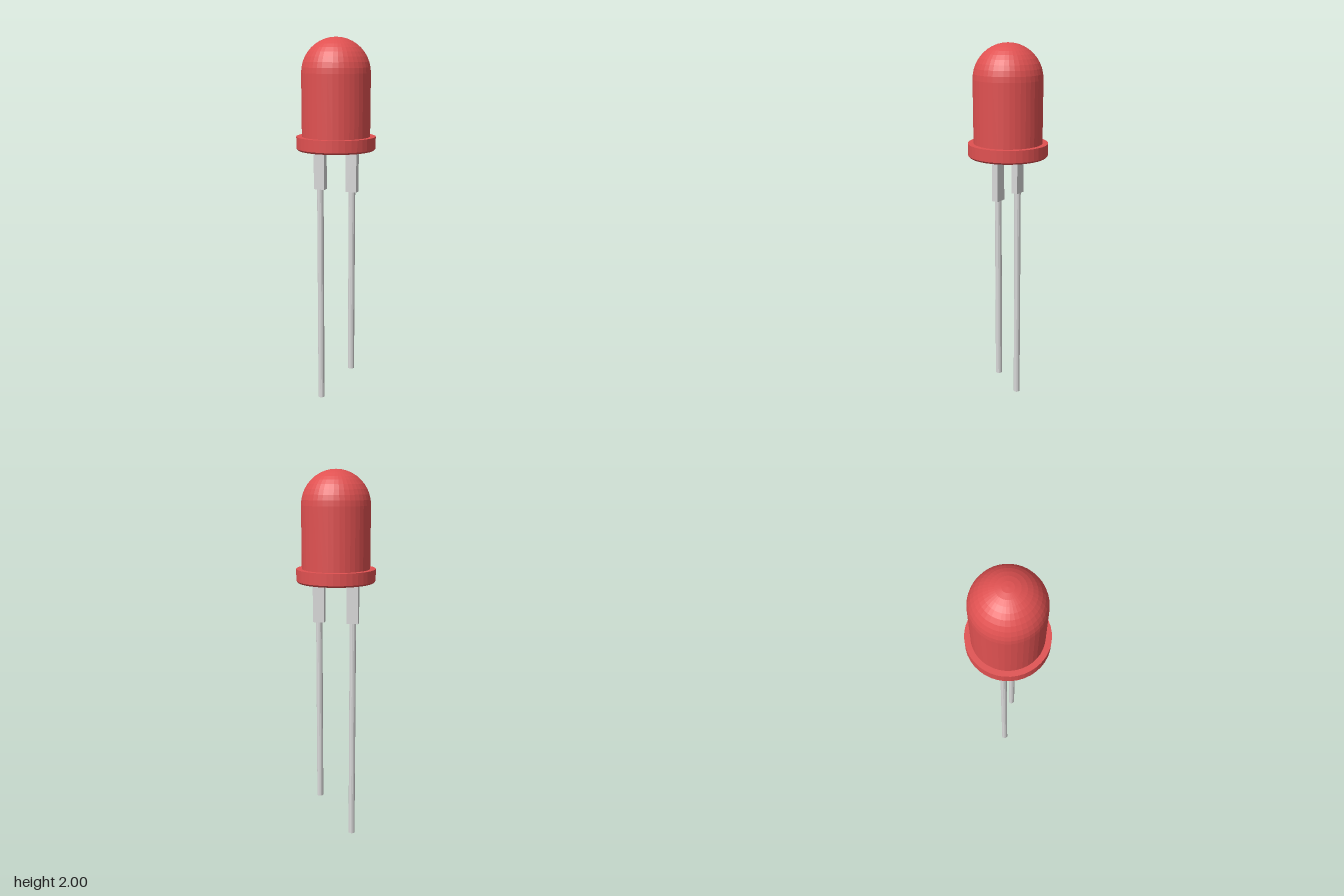
import * as THREE from 'three';

export function createModel() {
  const group = new THREE.Group();
  const red = new THREE.MeshStandardMaterial({ name: 'red plastic', color: 0xe05151, flatShading: true });
  const metal = new THREE.MeshStandardMaterial({ name: 'grey metal', color: 0xd8d8d8, flatShading: true });

  const add = (name, geometry, material, x = 0, y = 0) => {
    const mesh = new THREE.Mesh(geometry, material);
    mesh.name = name;
    mesh.position.set(x, y, 0);
    group.add(mesh);
  };

  // Lens: flanged base, straight wall and hemispherical dome in one profile
  const radius = 0.177, flange = 0.206, domeY = 2 - radius, rings = 10;
  const profile = [[0, 1.433], [flange - 0.008, 1.433], [flange, 1.442], [flange, 1.503], [radius, 1.503]]
    .map(([r, y]) => new THREE.Vector2(r, y));
  for (let i = 0; i <= rings; i++) {
    const a = (i / rings) * Math.PI / 2;
    profile.push(new THREE.Vector2(i === rings ? 0 : radius * Math.cos(a), domeY + radius * Math.sin(a)));
  }
  add('lens', new THREE.LatheGeometry(profile, 40), red);

  // Two leads of unequal length, each with a wider flat tab under the lens
  const tabBottom = 1.217, tabTop = 1.44;
  for (const [side, x, bottom] of [['right', -0.091, 0], ['left', 0.091, 0.215]]) {
    add(side + 'Tab', new THREE.BoxGeometry(0.06, tabTop - tabBottom, 0.035), metal, x, (tabTop + tabBottom) / 2);
    add(side + 'Lead', new THREE.CylinderGeometry(0.0175, 0.0175, tabBottom - bottom, 12), metal, x, (tabBottom + bottom) / 2);
  }
  return group;
}
